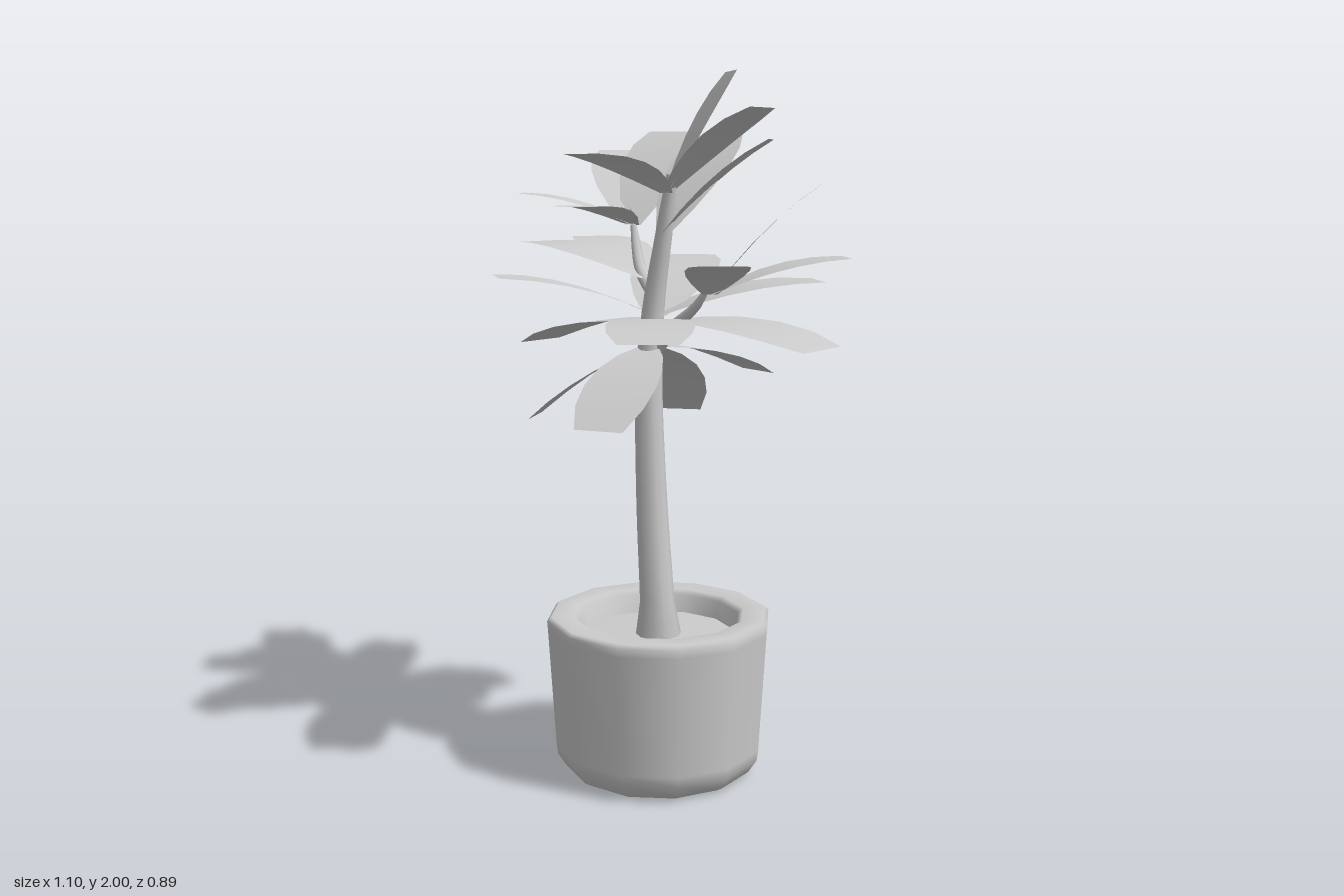
import * as THREE from 'three';

const V = (x, y, z) => new THREE.Vector3(x, y, z);
const grey = new THREE.MeshStandardMaterial({ color: 0xcccccc });
const thin = new THREE.MeshStandardMaterial({ color: 0xcccccc, side: THREE.DoubleSide });

// Smooth turned shape; a repeated profile point gives a sharp edge
function lathe(profile, sides) {
  return new THREE.LatheGeometry(profile.map(([r, y]) => new THREE.Vector2(r, y)), sides);
}

// Tapered limb along a smooth curve; radii are spread evenly over its length
function limb(points, radii, segments, sides) {
  const curve = new THREE.CatmullRomCurve3(points);
  const geometry = new THREE.TubeGeometry(curve, segments, 1, sides);
  const pos = geometry.attributes.position;
  const v = new THREE.Vector3();
  for (let i = 0; i < pos.count; i++) {
    const u = Math.floor(i / (sides + 1)) / segments;
    const k = u * (radii.length - 1);
    const j = Math.min(Math.floor(k), radii.length - 2);
    const radius = THREE.MathUtils.lerp(radii[j], radii[j + 1], k - j);
    const centre = curve.getPointAt(u);
    v.fromBufferAttribute(pos, i).sub(centre).multiplyScalar(radius).add(centre);
    pos.setXYZ(i, v.x, v.y, v.z);
  }
  return geometry;
}

// Half width of a leaf from stalk to blunt tip, as a share of its length
const HALF_WIDTH = [0.06, 0.165, 0.23, 0.255, 0.24, 0.17];

// Arched, blunt-ended blade from base to tip with a level cross-section
function leaf(base, tip) {
  const rows = HALF_WIDTH.length - 1;
  const length = base.distanceTo(tip);
  const bend = base.clone().lerp(tip, 0.5);
  bend.y += 0.12 * length;
  const spine = new THREE.QuadraticBezierCurve3(base, bend, tip);
  const side = tip.clone().sub(base).cross(V(0, 1, 0)).normalize();
  const geometry = new THREE.PlaneGeometry(1, 1, 2, rows);
  const pos = geometry.attributes.position;
  for (let i = 0; i < pos.count; i++) {
    const row = Math.round((pos.getY(i) + 0.5) * rows);
    const offset = pos.getX(i) * 2 * HALF_WIDTH[row] * length;
    const p = spine.getPoint(row / rows).addScaledVector(side, offset);
    pos.setXYZ(i, p.x, p.y, p.z);
  }
  geometry.computeVertexNormals();
  return geometry;
}

export function createModel() {
  const model = new THREE.Group();
  const add = (name, geometry, material = grey, parent = model) => {
    const mesh = new THREE.Mesh(geometry, material);
    mesh.name = name;
    parent.add(mesh);
    return mesh;
  };

  // Twelve-sided pot with bevelled foot, soft rim and recessed soil
  const pot = add('pot', lathe([
    [0, 0], [0.255, 0], [0.255, 0], [0.275, 0.012], [0.3, 0.05], [0.304, 0.08], [0.325, 0.43],
    [0.327, 0.455], [0.315, 0.466], [0.25, 0.464], [0.235, 0.45], [0.215, 0.38],
  ], 12));
  const soil = add('soil', lathe([[0.225, 0.4], [0, 0.405]], 12));
  pot.position.set(0.025, 0, 0.015);
  soil.position.copy(pot.position);

  // Trunk with a flared foot, and two side branches
  add('trunk', limb(
    [V(0.028, 0.39, 0.02), V(0.022, 0.5, 0.02), V(-0.005, 0.8, 0.018), V(-0.02, 1.15, 0.015),
      V(-0.012, 1.35, 0.005), V(0.02, 1.55, -0.005), V(0.05, 1.72, -0.01)],
    [0.068, 0.05, 0.048, 0.046, 0.044, 0.042, 0.04, 0.038, 0.034, 0.03, 0.026, 0.022, 0.015], 24, 10));
  add('leftBranch', limb([V(-0.01, 1.22, 0), V(0.06, 1.3, -0.01), V(0.13, 1.36, -0.03), V(0.185, 1.44, -0.045)],
    [0.02, 0.018, 0.014, 0.004], 10, 7));
  add('rightBranch', limb([V(-0.01, 1.38, 0), V(-0.1, 1.45, -0.02), V(-0.15, 1.54, -0.04), V(-0.172, 1.62, -0.045)],
    [0.02, 0.018, 0.014, 0.004], 10, 7));

  // Leaf whorls: where each grows from, then the leaf tips
  const whorls = {
    lowerLeaves: [[-0.02, 1.24, 0.01],
      [-0.265, 0.995, -0.295], [-0.295, 1.025, 0.22], [0.155, 1.055, 0.335], [0, 1.135, -0.395]],
    middleLeaves: [[-0.012, 1.31, 0.005],
      [-0.475, 1.22, 0.07], [0.53, 1.27, -0.12], [0.34, 1.3, 0.315]],
    upperMiddleLeaves: [[-0.01, 1.325, 0],
      [-0.21, 1.445, 0.405], [0.23, 1.42, -0.41], [-0.315, 1.47, -0.385]],
    rightInnerLeaves: [[-0.06, 1.43, -0.015], [-0.55, 1.515, 0.005], [-0.45, 1.53, -0.12]],
    rightBranchLeaves: [[-0.165, 1.575, -0.045],
      [-0.455, 1.79, -0.235], [-0.305, 1.845, -0.305], [-0.4, 1.665, 0.185], [-0.05, 1.635, 0.265]],
    leftBranchLeaves: [[0.17, 1.395, -0.045],
      [0.39, 1.695, -0.25], [0.385, 1.495, -0.36], [0.43, 1.495, 0.145]],
    crownInnerLeaves: [[0.025, 1.56, 0], [-0.05, 1.835, -0.29], [0.255, 1.815, -0.19]],
    crownLeaves: [[0.05, 1.67, 0.01],
      [0.135, 2.0, -0.15], [0.345, 1.895, -0.07], [0.125, 1.775, 0.36]],
  };
  for (const [name, [base, ...tips]] of Object.entries(whorls)) {
    const group = new THREE.Group();
    group.name = name;
    model.add(group);
    for (const tip of tips) add('leaf', leaf(V(...base), V(...tip)), thin, group);
  }
  return model;
}
